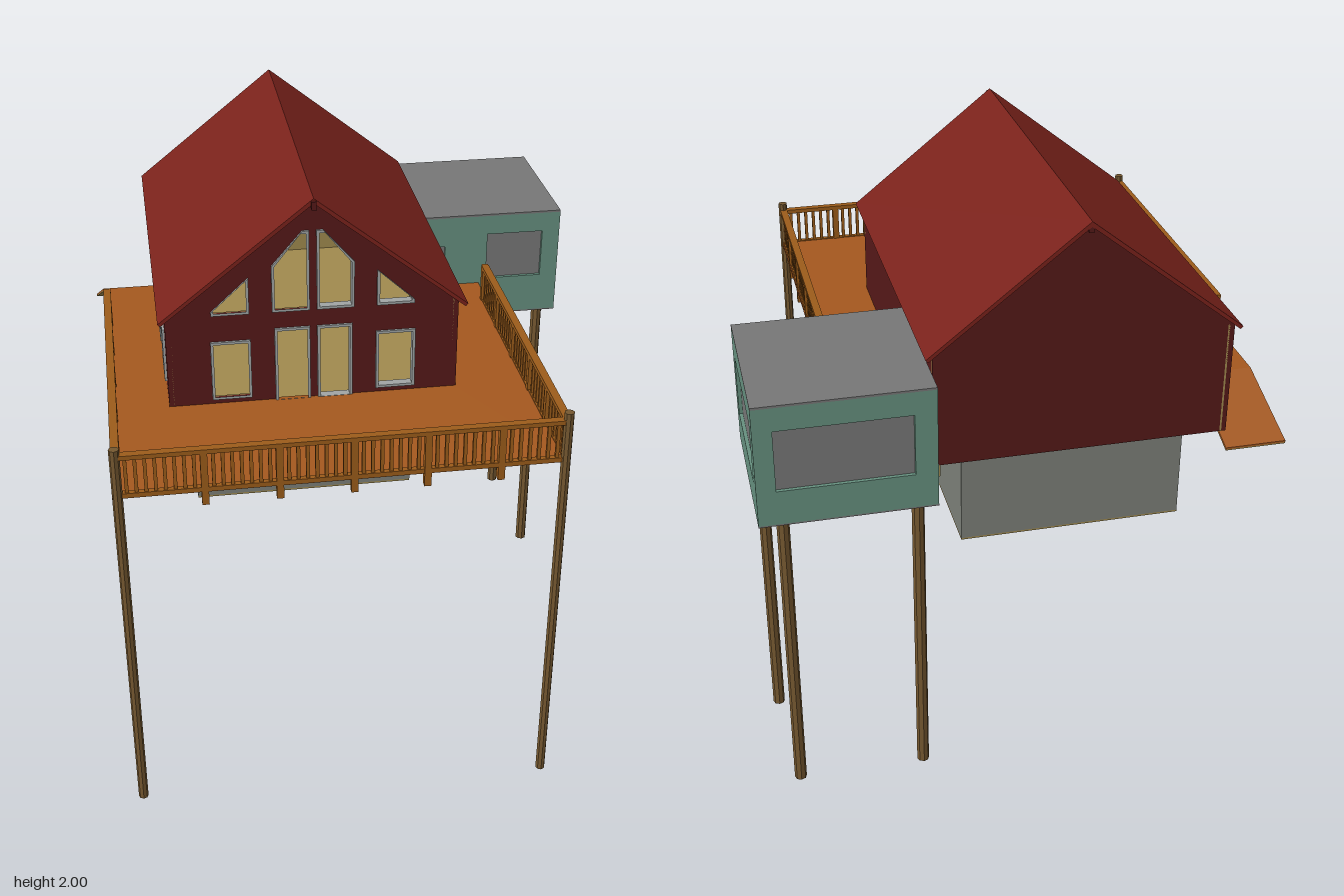
import * as THREE from 'three';
import { ConvexGeometry } from 'three/addons/geometries/ConvexGeometry.js';

const mat = (color) => new THREE.MeshStandardMaterial({ color, flatShading: true });
const M = {
  roof: mat(0x7a221b), siding: mat(0x561918), lining: mat(0xa08a4e), frame: mat(0xa0a5a5),
  deck: mat(0xa4581f), rail: mat(0x9c5c1a), post: mat(0x755830), concrete: mat(0x7d8079),
  teal: mat(0x66907f), grey: mat(0x777777),
};

function add(parent, name, geometry, material, x = 0, y = 0, z = 0) {
  const mesh = new THREE.Mesh(geometry, material);
  mesh.name = name;
  mesh.position.set(x, y, z);
  parent.add(mesh);
  return mesh;
}

// Box given by its minimum and maximum corners
function block(parent, name, material, [x0, y0, z0], [x1, y1, z1]) {
  return add(parent, name, new THREE.BoxGeometry(x1 - x0, y1 - y0, z1 - z0), material,
    (x0 + x1) / 2, (y0 + y1) / 2, (z0 + z1) / 2);
}

const rect = (x0, y0, x1, y1) => [[x0, y0], [x1, y0], [x1, y1], [x0, y1]];
const mirrored = (pts) => pts.map(([x, y]) => [-x, y]);
const toPoints = (pts) => pts.map(([x, y]) => new THREE.Vector2(x, y));

// Flat outline with openings, given thickness
function panel(pts, holes, depth) {
  const shape = new THREE.Shape(toPoints(pts));
  for (const h of holes) shape.holes.push(new THREE.Path(toPoints(h)));
  return new THREE.ExtrudeGeometry(shape, { depth, bevelEnabled: false });
}

// Outline shrunk by t on each side of its bounding box
function inset(pts, t) {
  const axis = (k) => {
    const v = pts.map((p) => p[k]);
    const lo = Math.min(...v), hi = Math.max(...v);
    return { mid: (lo + hi) / 2, s: (hi - lo - 2 * t) / (hi - lo) };
  };
  const a = axis(0), b = axis(1);
  return pts.map(([x, y]) => [a.mid + (x - a.mid) * a.s, b.mid + (y - b.mid) * b.s]);
}

// Wall whose outer face lies "offset" from the centre, turned by "turn"
function wall(parent, name, pts, holes, offset, turn, material, lined) {
  const g = new THREE.Group();
  g.name = name;
  g.rotation.y = turn;
  add(g, 'siding', panel(pts, holes, 0.015), material, 0, 0, offset - 0.015);
  if (lined) {
    add(g, 'innerLining', panel(pts, holes, 0.006), M.lining, 0, 0, offset - 0.021);
    for (const h of holes) add(g, 'windowFrame', panel(h, [inset(h, 0.009)], 0.03), M.frame, 0, 0, offset - 0.022);
  }
  parent.add(g);
}

// Railing along local x; breaks are the ends of its sections
function railing(parent, name, breaks, endPost, x, z, turn) {
  const g = new THREE.Group();
  g.name = name;
  g.position.set(x, 0, z);
  g.rotation.y = turn;
  const picket = new THREE.BoxGeometry(0.011, 0.13, 0.011);
  const last = breaks.length - 1;
  const lo = Math.min(breaks[0], breaks[last]), hi = Math.max(breaks[0], breaks[last]);
  block(g, 'topRail', M.rail, [lo, 1.405, -0.013], [hi, 1.42, 0.013]);
  block(g, 'bottomRail', M.rail, [lo, 1.27, -0.009], [hi, 1.286, 0.009]);
  for (let i = 0; i < last; i++) {
    const a = breaks[i], b = breaks[i + 1];
    const n = Math.round(Math.abs(b - a) / 0.029);
    for (let k = 1; k < n; k++) add(g, 'picket', picket, M.rail, a + (b - a) * k / n, 1.345, 0);
    if (i < last - 1 || endPost) block(g, 'railPost', M.rail, [b - 0.011, 1.225, -0.012], [b + 0.011, 1.42, 0.012]);
  }
  parent.add(g);
}

function post(parent, name, x, z, y0, y1, r) {
  add(parent, name, new THREE.CylinderGeometry(r, r, y1 - y0, 8), M.post, x, (y0 + y1) / 2, z);
}

function makeHouse() {
  const house = new THREE.Group();
  house.name = 'house';
  house.position.set(-0.165, 0, -0.205);
  const hx = 0.477, hz = 0.605;
  const gable = [[-hx, 1.23], [hx, 1.23], [hx, 1.608], [0, 1.985], [-hx, 1.608]];

  // Gable window wall
  const half = [
    rect(0.012, 1.275, 0.127, 1.545),
    [[0.012, 1.605], [0.133, 1.605], [0.133, 1.765], [0.033, 1.88], [0.012, 1.88]],
    [[0.207, 1.605], [0.33, 1.605], [0.33, 1.617], [0.207, 1.73]],
    rect(0.205, 1.3, 0.335, 1.51),
  ];
  wall(house, 'frontWall', gable, [...half, ...half.map(mirrored)], hz, 0, M.siding, true);
  wall(house, 'backWall', gable, [], hz, Math.PI, M.siding, true);

  // Long side walls
  const windows = [-0.485, 0.105, 0.39].map((s) => rect(s, 1.33, s + 0.125, 1.52));
  wall(house, 'rightSideWall', rect(-hz, 1.23, hz, 1.61), windows, hx, -Math.PI / 2, M.siding, true);
  wall(house, 'leftSideWall', [[-hz, 1.23], [hz, 1.19], [hz, 1.61], [-hz, 1.61]], [], hx, Math.PI / 2, M.siding, true);

  // Floor
  block(house, 'floorBase', M.siding, [-hx + 0.005, 1.232, -hz + 0.005], [hx - 0.005, 1.25, hz - 0.005]);
  block(house, 'floor', M.lining, [-hx + 0.01, 1.25, -hz + 0.01], [hx - 0.01, 1.27, hz - 0.01]);

  // Roof and ridge beam
  const chevron = [[-0.5, 1.605], [0, 2], [0.5, 1.605], [0.492, 1.596], [0, 1.983], [-0.492, 1.596]];
  add(house, 'roof', panel(chevron, [], 1.26), M.roof, 0, 0, -0.617);
  block(house, 'ridgeBeam', M.siding, [-0.008, 1.965, -0.615], [0.008, 1.992, 0.653]);
  return house;
}

function makeCabin() {
  const cabin = new THREE.Group();
  cabin.name = 'sideCabin';
  cabin.position.set(0.592, 0, -0.635);
  const h = 0.275, face = rect(-h, 1.155, h, 1.553);
  const wide = [rect(-0.215, 1.27, 0.205, 1.475)];
  const front = [rect(0, 1.3, 0.21, 1.48), rect(-0.25, 1.29, -0.16, 1.44)];
  [front, wide, wide, []].forEach((holes, i) =>
    wall(cabin, ['frontWall', 'leftWall', 'backWall', 'rightWall'][i], face, holes, h, i * Math.PI / 2, M.teal, false));
  block(cabin, 'windowPanes', M.grey, [-h + 0.012, 1.156, -h + 0.012], [h - 0.012, 1.552, h - 0.012]);
  block(cabin, 'cabinRoof', M.grey, [-h, 1.553, -h], [h, 1.56, h]);
  block(cabin, 'cabinFloor', M.grey, [-h, 1.15, -h], [h, 1.155, h]);
  return cabin;
}

export function createModel() {
  const model = new THREE.Group();
  model.add(makeHouse(), makeCabin());

  // Basement
  block(model, 'basement', M.concrete, [-0.56, 0.836, -0.65], [0.19, 1.235, 0.265]);
  block(model, 'basementFloor', M.lining, [-0.56, 0.83, -0.65], [0.19, 0.836, 0.265]);

  // Deck wrapped round the house, with a dark underside
  const outline = [[-0.84, 0.9], [0.565, 0.9], [0.565, -0.36], [0.3, -0.36], [0.3, 0.39],
    [-0.635, 0.39], [-0.635, -0.52], [-0.84, -0.52]];
  add(model, 'deck', panel(outline, [], 0.01), M.deck, 0, 1.283, 0).rotation.x = Math.PI / 2;
  add(model, 'deckUnderside', panel(outline, [], 0.004), M.siding, 0, 1.273, 0).rotation.x = Math.PI / 2;
  block(model, 'deckLedger', M.rail, [0.315, 1.25, -0.36], [0.335, 1.264, 0.37]);

  // Ramp down from the deck
  const ramp = (name, material, top, t) => {
    const pts = [];
    for (const d of [0, t]) {
      for (const [x, y, z] of [[-0.84, 1.283, -0.52], [-0.64, 1.283, -0.52], [-0.665, 1.14, -0.775], [-0.872, 1.14, -0.775]])
        pts.push(new THREE.Vector3(x, y - top - d, z));
    }
    add(model, name, new ConvexGeometry(pts), material);
  };
  ramp('ramp', M.deck, 0, 0.006);
  ramp('rampUnderside', M.lining, 0.006, 0.004);

  // Railings
  const sides = [0.89, 0.677, 0.46, 0.232, 0.005, -0.22];
  railing(model, 'frontRailing', [-0.825, -0.563, -0.336, -0.108, 0.119, 0.35, 0.555], false, 0, 0.892, 0);
  railing(model, 'leftRailing', sides, true, 0.553, 0, -Math.PI / 2);
  railing(model, 'rightRailing', sides, true, -0.823, 0, -Math.PI / 2);

  // Tall supports
  post(model, 'deckPost', -0.825, 0.895, 0.065, 1.44, 0.016);
  post(model, 'deckPost', 0.555, 0.895, 0, 1.445, 0.016);
  post(model, 'cabinPost', 0.375, -0.868, 0.115, 1.15, 0.02);
  post(model, 'cabinPost', 0.787, -0.825, 0.08, 1.15, 0.02);
  post(model, 'cabinPost', 0.81, -0.4, 0.06, 1.15, 0.02);
  return model;
}
